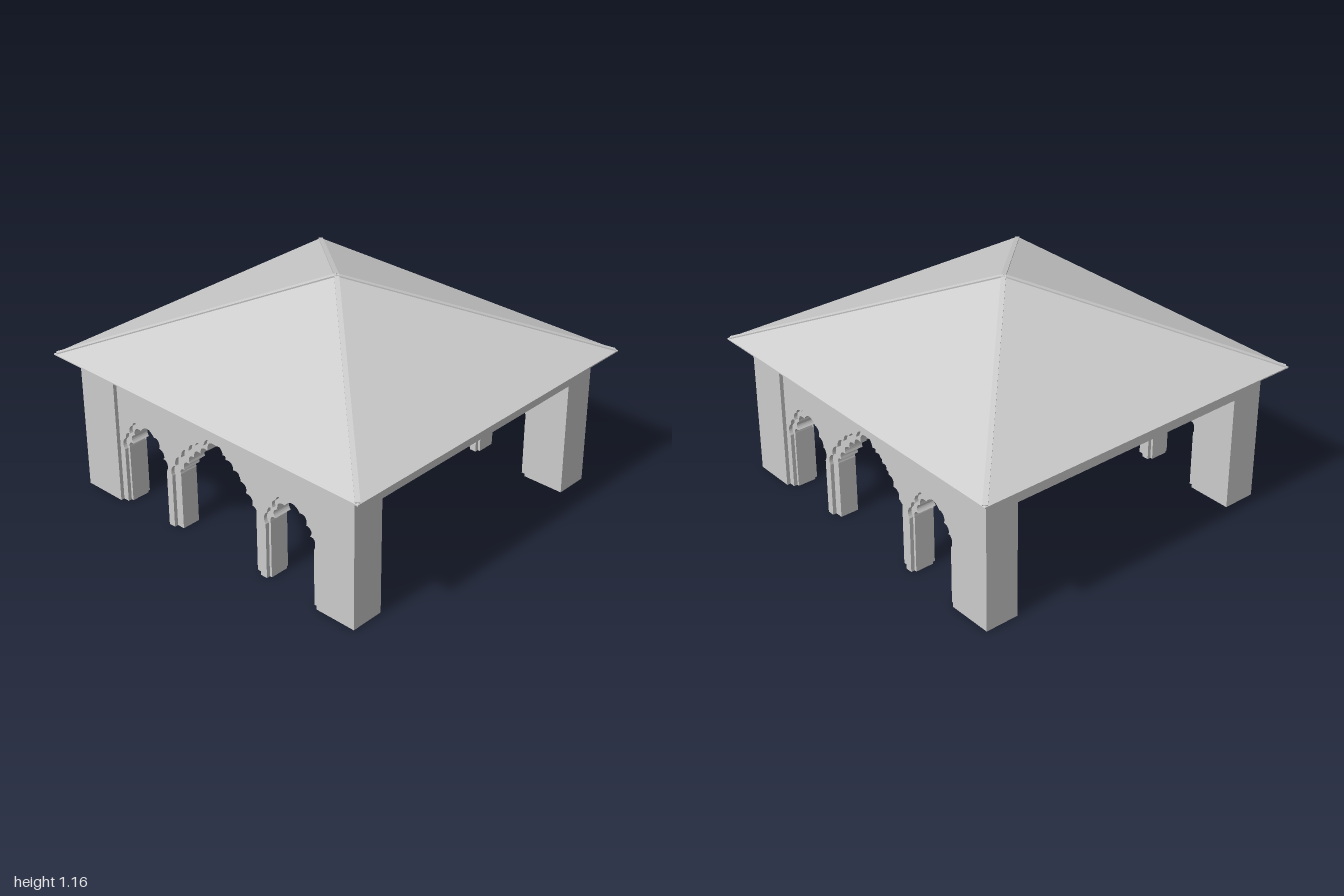
import * as THREE from 'three';

const material = new THREE.MeshStandardMaterial({ color: 0xcccccc, flatShading: true });
const WALL_X = 0.775;   // centre of each arcade wall
const WALL_TOP = 0.762; // walls run up under the roof slope
const SHIFT = 0.006;    // arcade sits slightly off centre along z

function add(parent, name, geometry, x = 0, y = 0, z = 0) {
  const mesh = new THREE.Mesh(geometry, material);
  mesh.name = name;
  mesh.position.set(x, y, z);
  parent.add(mesh);
  return mesh;
}

// Box given by its limits on each axis
function block(parent, name, x0, x1, y0, y1, z0, z1) {
  return add(parent, name, new THREE.BoxGeometry(x1 - x0, y1 - y0, z1 - z0),
    (x0 + x1) / 2, (y0 + y1) / 2, (z0 + z1) / 2);
}

// Half arches: cusp points from springing to crown, as [half width, height]
const coreArches = {
  bulge: 0.65,
  centre: [[0.255, 0.31], [0.23, 0.345], [0.19, 0.395], [0.155, 0.445], [0.11, 0.485], [0.06, 0.52], [0, 0.57]],
  side: [[0.139, 0.31], [0.108, 0.342], [0.095, 0.395], [0.047, 0.438]],
};
const faceArches = {
  bulge: 0.45,
  centre: [[0.297, 0.29], [0.27, 0.36], [0.225, 0.425], [0.17, 0.485], [0.125, 0.53], [0.065, 0.555], [0, 0.602]],
  side: [[0.152, 0.30], [0.14, 0.37], [0.105, 0.41], [0.085, 0.46], [0.042, 0.487]],
};

// Cut one lobed opening into the lower edge of the panel outline
function traceArch(shape, centre, half, bulge) {
  const left = half.map(([w, y]) => [centre - w, y]);
  const right = half.filter(([w]) => w > 0).map(([w, y]) => [centre + w, y]).reverse();
  const points = [...left, ...right];
  shape.lineTo(points[0][0], 0);
  shape.lineTo(...points[0]);
  for (let i = 1; i < points.length; i++) {
    const [ax, ay] = points[i - 1], [bx, by] = points[i];
    shape.quadraticCurveTo(
      (ax + bx) / 2 - (by - ay) * bulge, (ay + by) / 2 + (bx - ax) * bulge, bx, by);
  }
  shape.lineTo(points[points.length - 1][0], 0);
}

// Panel with three lobed openings, extruded through the wall thickness
function arcadePanel({ centre, side, bulge }, thickness) {
  const shape = new THREE.Shape();
  shape.moveTo(-0.675, 0);
  traceArch(shape, -0.487, side, bulge);
  traceArch(shape, 0, centre, bulge);
  traceArch(shape, 0.487, side, bulge);
  shape.lineTo(0.675, 0);
  shape.lineTo(0.675, 0.72);
  shape.lineTo(-0.675, 0.72);
  shape.closePath();
  const geometry = new THREE.ExtrudeGeometry(shape, {
    depth: thickness, bevelEnabled: false, curveSegments: 8,
  });
  geometry.translate(0, 0, -thickness / 2);
  geometry.rotateY(-Math.PI / 2);
  return geometry;
}

function createRoof() {
  const roof = new THREE.Group();
  roof.name = 'roof';
  const eave = 0.735, apex = 1.16, halfX = 0.95, halfZ = 1;

  // Hollow four-sided shell: underside, thin eave edge, then outer slopes
  const profile = [[0, apex - 0.016], [0.985, eave], [1, eave], [1, eave + 0.006], [0, apex - 0.004]]
    .map(([r, y]) => new THREE.Vector2(r * Math.SQRT2, y));
  let shell = new THREE.LatheGeometry(profile, 4, Math.PI / 4);
  shell.scale(halfX, 1, halfZ);
  shell = shell.toNonIndexed();
  shell.computeVertexNormals();
  add(roof, 'roofShell', shell);

  // Narrow ridge caps along the four hips
  const top = new THREE.Vector3(0, apex - 0.005, 0);
  for (const sx of [-1, 1]) for (const sz of [-1, 1]) {
    const corner = new THREE.Vector3(sx * (halfX - 0.01), eave + 0.008, sz * (halfZ - 0.01));
    const cap = add(roof, 'hipRidge', new THREE.BoxGeometry(0.024, 0.01, top.distanceTo(corner)));
    cap.position.copy(top).add(corner).multiplyScalar(0.5);
    cap.lookAt(top);
  }
  return roof;
}

function createArcadeWall(sx) {
  const wall = new THREE.Group();
  wall.name = sx > 0 ? 'leftArcade' : 'rightArcade';
  wall.position.x = sx * WALL_X;

  // Corner piers and the lintel framing the recessed panel
  block(wall, 'frontPier', -0.09, 0.09, 0, WALL_TOP, 0.672 + SHIFT, 0.905);
  block(wall, 'backPier', -0.09, 0.09, 0, WALL_TOP, -0.905, -0.672 + SHIFT);
  block(wall, 'lintel', -0.09, 0.09, 0.715, WALL_TOP, -0.672 + SHIFT, 0.672 + SHIFT);

  // Wider-arched face panel around a thinner core with the smaller lobes
  add(wall, 'facePanel', arcadePanel(faceArches, 0.14), 0, 0, SHIFT);
  add(wall, 'lobedArches', arcadePanel(coreArches, 0.1), 0, 0, SHIFT);
  return wall;
}

export function createModel() {
  const model = new THREE.Group();
  model.name = 'archedPavilion';
  model.add(createRoof(), createArcadeWall(1), createArcadeWall(-1));

  // Beams across the open front and back
  block(model, 'frontBeam', -0.685, 0.685, 0.61, WALL_TOP, 0.675, 0.905);
  block(model, 'backBeam', -0.685, 0.685, 0.61, WALL_TOP, -0.905, -0.675);
  return model;
}
